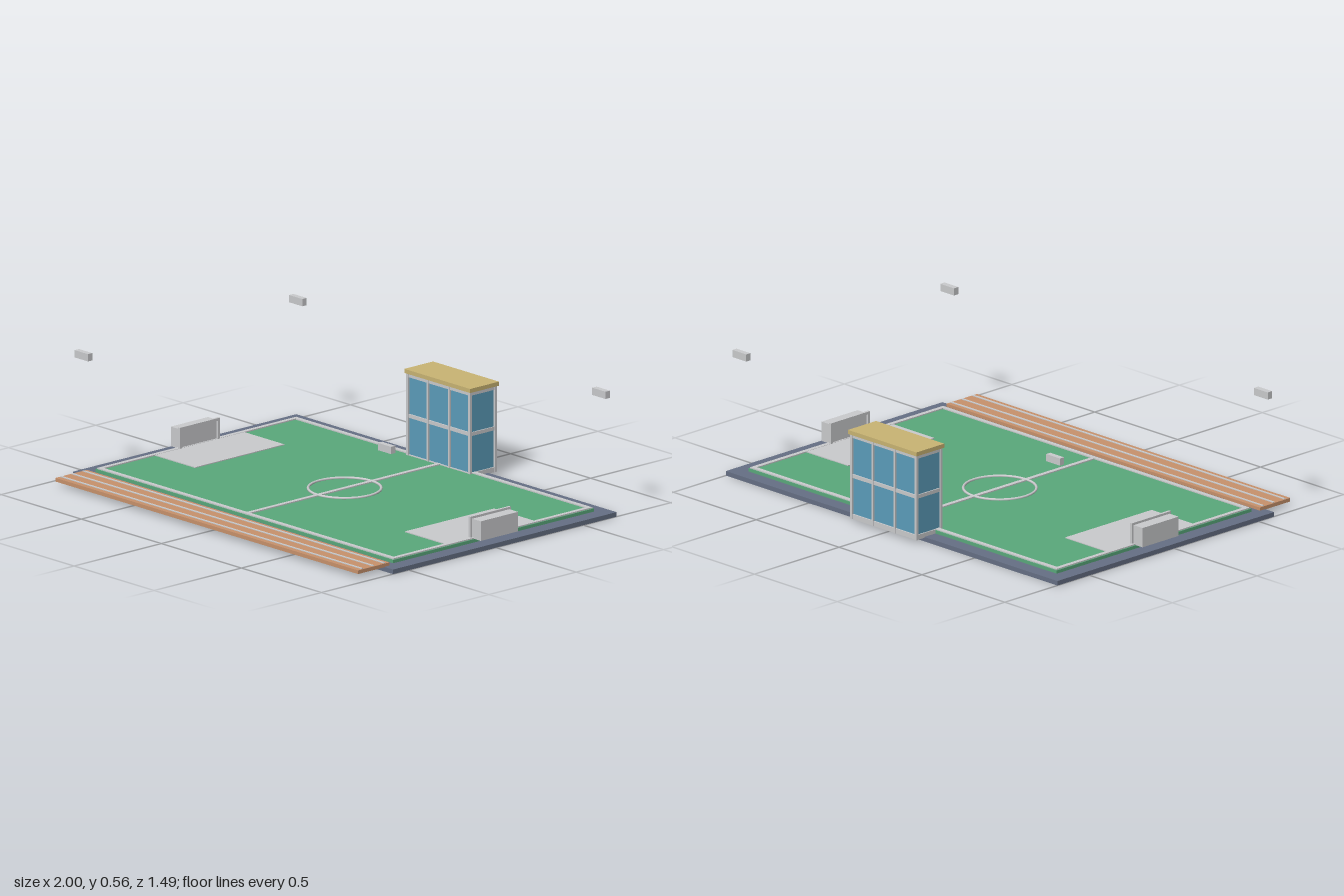
import * as THREE from 'three';

const mat = (name, color) => {
  const m = new THREE.MeshStandardMaterial({ color });
  m.name = name;
  return m;
};

export function createModel() {
  const model = new THREE.Group();
  model.name = 'footballGround';
  const slate = mat('slate', 0x667085);
  const green = mat('grassGreen', 0x5aa97c);
  const white = mat('paleGrey', 0xcbccce);
  const glass = mat('glassBlue', 0x5c9dbb);
  const gold = mat('roofGold', 0xcab574);
  const clay = mat('clayOrange', 0xc9936d);

  // Box given by its min/max extents on each axis
  const box = (name, m, [x0, x1], [y0, y1], [z0, z1], parent = model) => {
    const mesh = new THREE.Mesh(new THREE.BoxGeometry(x1 - x0, y1 - y0, z1 - z0), m);
    mesh.position.set((x0 + x1) / 2, (y0 + y1) / 2, (z0 + z1) / 2);
    mesh.name = name;
    parent.add(mesh);
    return mesh;
  };
  const group = (name) => {
    const g = new THREE.Group();
    g.name = name;
    model.add(g);
    return g;
  };
  // Mirror an x range for the side s
  const side = (s, a, b) => (s > 0 ? [a, b] : [-b, -a]);

  // Base and grass
  box('base', slate, [-1, 1], [0, 0.02], [-0.69, 0.59]);
  box('pitch', green, [-0.93, 0.93], [0.02, 0.034], [-0.625, 0.525]);

  // Pitch markings
  const lines = group('pitchMarkings');
  const lineY = [0.033, 0.039];
  for (const z of [-0.61, 0.51]) box('touchLine', white, [-0.925, 0.925], lineY, [z - 0.01, z + 0.01], lines);
  for (const s of [-1, 1]) {
    box('goalLine', white, side(s, 0.905, 0.925), lineY, [-0.6, 0.5], lines);
    box('penaltyArea', white, side(s, 0.655, 0.905), [0.033, 0.038], [-0.305, 0.205], lines);
  }
  box('halfwayLine', white, [-0.01, 0.01], lineY, [-0.6, 0.5], lines);
  const circle = new THREE.Mesh(new THREE.TorusGeometry(0.155, 0.006, 8, 32), white);
  circle.rotation.x = -Math.PI / 2;
  circle.position.set(0, 0.037, -0.05);
  circle.name = 'centreCircle';
  lines.add(circle);

  // Goals: net block behind a post frame
  for (const s of [-1, 1]) {
    const goal = group(s > 0 ? 'leftGoal' : 'rightGoal');
    box('net', white, side(s, 0.912, 0.968), [0.034, 0.12], [-0.155, 0.058], goal);
    for (const z of [-0.158, 0.061]) box('post', white, side(s, 0.902, 0.914), [0.034, 0.13], [z - 0.006, z + 0.006], goal);
    box('crossbar', white, side(s, 0.902, 0.914), [0.118, 0.13], [-0.164, 0.067], goal);
  }

  // Front terrace with seat stripes
  box('terrace', clay, [-0.945, 0.945], [0.018, 0.034], [0.56, 0.74]);
  for (const z of [0.585, 0.648, 0.712]) box('terraceStripe', white, [-0.94, 0.94], [0.033, 0.037], [z - 0.005, z + 0.005]);

  // Floating floodlights
  for (const s of [-1, 1]) for (const z of [-0.65, 0.578]) {
    box('floodlight', white, side(s, 0.905, 0.988), [0.525, 0.557], [z - 0.0125, z + 0.0125]);
  }

  // Clubhouse: glass core, pale frame, gold roof
  const house = group('clubhouse');
  const zF = -0.585, zB = -0.738;
  box('glazing', glass, [-0.193, 0.193], [0.03, 0.385], [zB + 0.008, zF - 0.008], house);
  for (const [y0, y1] of [[0.016, 0.038], [0.2, 0.216], [0.378, 0.396]]) {
    box('rail', white, [-0.198, 0.198], [y0, y1], [zB + 0.002, zF - 0.002], house);
  }
  for (const s of [-1, 1]) {
    box('cornerPost', white, side(s, 0.188, 0.2), [0.016, 0.396], [zB, zB + 0.012], house);
    box('cornerPost', white, side(s, 0.188, 0.2), [0.016, 0.396], [zF - 0.012, zF], house);
    for (const z of [zB, zF - 0.01]) box('mullion', white, side(s, 0.062, 0.071), [0.016, 0.396], [z, z + 0.01], house);
  }
  box('roof', gold, [-0.206, 0.206], [0.394, 0.412], [-0.745, -0.58], house);

  return model;
}
